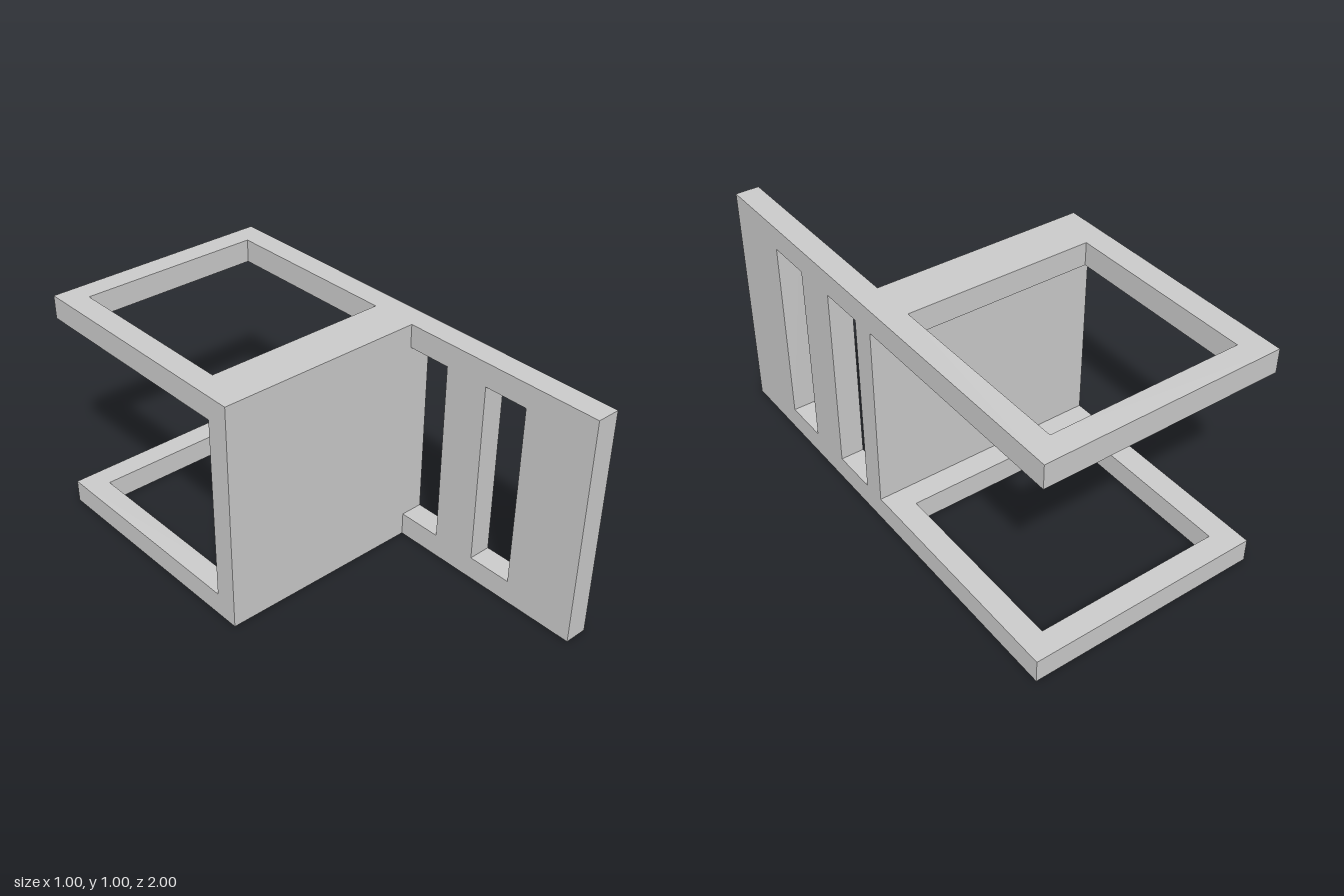
import * as THREE from 'three';

const T = 0.1; // thickness of every panel

// Closed rectangle as a list of corners
const rect = (x0, y0, x1, y1) => [[x0, y0], [x1, y0], [x1, y1], [x0, y1]]
  .map(([x, y]) => new THREE.Vector2(x, y));

// Flat slab with rectangular openings
function slab(outline, openings) {
  const shape = new THREE.Shape(rect(...outline));
  for (const o of openings) shape.holes.push(new THREE.Path(rect(...o).reverse()));
  return new THREE.ExtrudeGeometry(shape, { depth: T, bevelEnabled: false });
}

export function createModel() {
  const group = new THREE.Group();
  const material = new THREE.MeshStandardMaterial({ color: 0xcccccc, flatShading: true });
  const add = (name, geometry) => {
    const mesh = new THREE.Mesh(geometry, material);
    mesh.name = name;
    group.add(mesh);
  };

  // Solid wall across the middle
  add('crossWall', new THREE.BoxGeometry(0.9, 1, T).translate(-0.05, 0.5, T / 2));

  // Side panel reaching forward, with two tall slots
  add('slottedSidePanel', slab([0, 0, 1, 1], [[0.1, 0.1, 0.295, 0.9], [0.49, 0.1, 0.685, 0.9]])
    .rotateY(-Math.PI / 2).translate(0.5, 0, 0));

  // Square open frames reaching back, at the bottom and the top
  for (const [name, top] of [['lowerFrame', T], ['upperFrame', 1]]) {
    add(name, slab([-0.5, -1, 0.5, 0], [[-0.4, -0.9, 0.4, -0.1]])
      .rotateX(Math.PI / 2).translate(0, top, 0));
  }
  return group;
}
